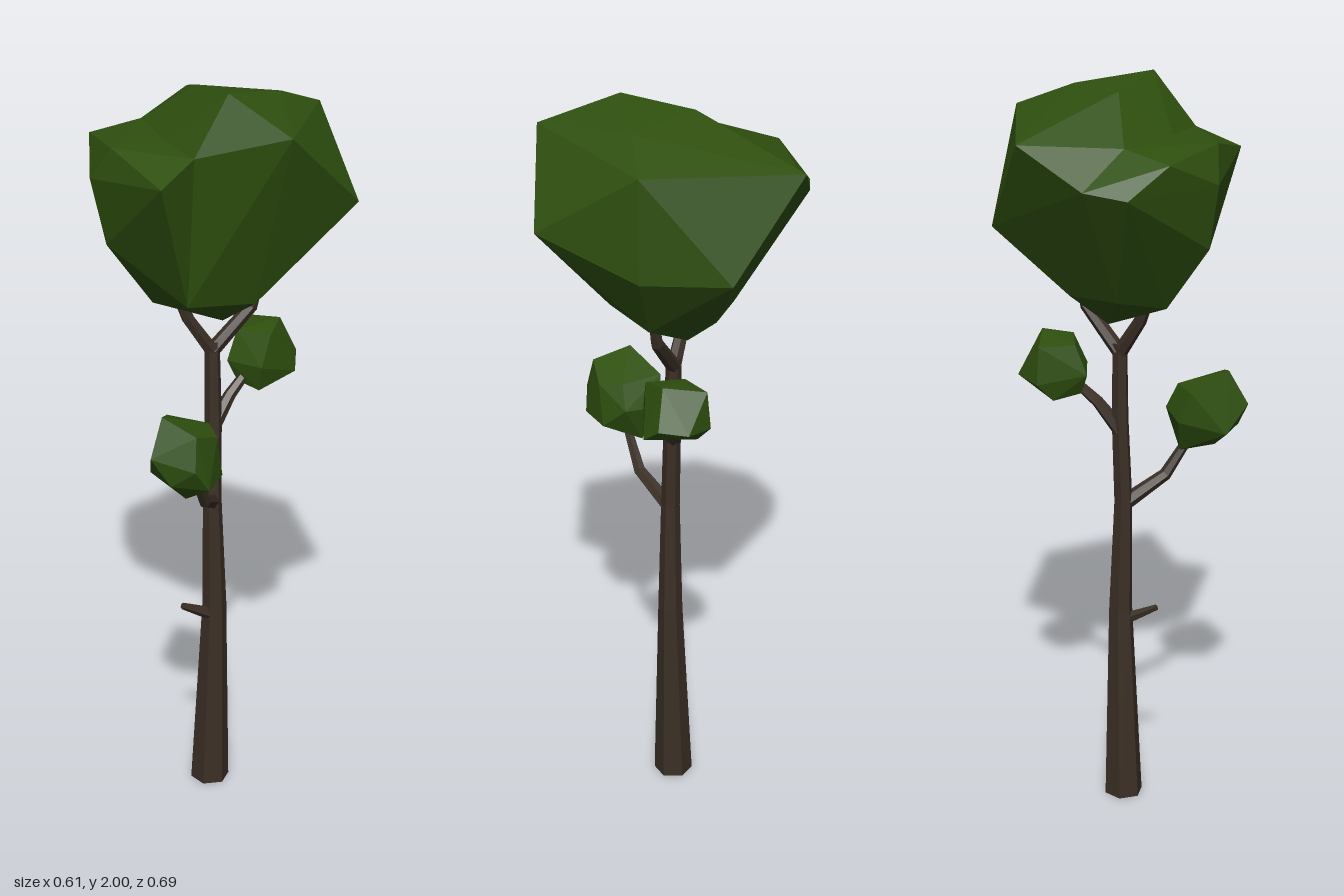
import * as THREE from 'three';
import { ConvexGeometry } from 'three/addons/geometries/ConvexGeometry.js';

const V = (p) => new THREE.Vector3(p[0], p[1], p[2]);

// Tapered six-sided limb through points [x, y, z, radius], closed at both ends
function limb(points, turn = 0, sides = 6) {
  const centers = points.map(V);
  const rings = centers.map((c, i) => {
    const dir = centers[Math.min(i + 1, centers.length - 1)].clone().sub(centers[Math.max(i - 1, 0)]);
    if (i === 0 && c.y === 0) dir.set(0, 1, 0); // the foot sits flat on the ground
    const q = new THREE.Quaternion().setFromUnitVectors(new THREE.Vector3(0, 1, 0), dir.normalize());
    return Array.from({ length: sides }, (_, k) => {
      const a = turn + (k / sides) * Math.PI * 2;
      return new THREE.Vector3(Math.sin(a), 0, Math.cos(a)).multiplyScalar(points[i][3]).applyQuaternion(q).add(c);
    });
  });
  const tris = [];
  const last = rings.length - 1;
  for (let k = 0; k < sides; k++) {
    const n = (k + 1) % sides;
    for (let i = 0; i < last; i++) {
      const [a, b, c, d] = [rings[i][k], rings[i][n], rings[i + 1][n], rings[i + 1][k]];
      tris.push(a, b, c, a, c, d);
    }
    tris.push(centers[0], rings[0][n], rings[0][k], centers[last], rings[last][k], rings[last][n]);
  }
  const g = new THREE.BufferGeometry().setFromPoints(tris);
  g.computeVertexNormals();
  return g;
}

const hull = (points) => new ConvexGeometry(points.map(V));

export function createModel() {
  const bark = new THREE.MeshStandardMaterial({ color: 0x3a2f25, flatShading: true });
  bark.name = 'bark';
  const leaf = new THREE.MeshStandardMaterial({ color: 0x2f500f, flatShading: true });
  leaf.name = 'leaf green';

  const tree = new THREE.Group();
  tree.name = 'tree';
  const add = (name, geometry, material) => {
    const mesh = new THREE.Mesh(geometry, material);
    mesh.name = name;
    tree.add(mesh);
  };

  // Trunk and branches
  add('trunk', limb([
    [-0.004, 0, 0.03, 0.053], [0.008, 0.55, 0.032, 0.033], [0.001, 0.87, 0.034, 0.025],
    [0.006, 1.1, 0.026, 0.023], [0.004, 1.31, 0.022, 0.02],
  ], 0.4), bark);
  add('forkRight', limb([[0.004, 1.285, 0.022, 0.02], [-0.06, 1.38, 0.022, 0.017], [-0.1, 1.48, 0.02, 0.014]]), bark);
  add('forkLeft', limb([[0.004, 1.285, 0.022, 0.02], [0.11, 1.395, 0.02, 0.017], [0.135, 1.49, 0.02, 0.014]]), bark);
  add('lowerBranch', limb([[0, 0.86, 0.035, 0.022], [-0.055, 0.92, 0.15, 0.017], [-0.1, 1.03, 0.21, 0.012]]), bark);
  add('upperBranch', limb([[0.005, 1.07, 0.025, 0.021], [0.06, 1.145, 0.0, 0.016], [0.13, 1.21, -0.03, 0.012]]), bark);
  add('twig', limb([[0, 0.52, 0.04, 0.018], [-0.09, 0.57, 0.06, 0.009]]), bark);

  // Crown: a main mass and a side lobe that meet in a shallow valley
  const valley = [[-0.1, 1.86, 0.21], [-0.13, 1.865, 0.06], [-0.13, 1.865, -0.15], [-0.11, 1.78, -0.295]];
  const underside = [
    [-0.15, 1.43, 0.01], [-0.1, 1.46, 0.15], [-0.08, 1.46, -0.11], [0.01, 1.37, -0.02], [0.02, 1.38, 0.06],
  ];
  add('crown', hull([
    ...valley, ...underside,
    [0, 2, 0.165], [0.17, 1.965, 0.055], [-0.025, 1.975, -0.025],
    [0.1, 1.93, 0.345], [0.305, 1.73, 0.255], [0.3, 1.91, -0.02], [0.05, 1.885, -0.345],
    [0.22, 1.64, -0.23], [0.3, 1.64, -0.02],
    [0.18, 1.46, 0.01], [0.07, 1.46, 0.17], [0.06, 1.46, -0.12],
  ]), leaf);
  add('crownLobe', hull([
    ...valley, ...underside,
    [-0.265, 1.86, 0.06], [-0.265, 1.84, -0.15], [-0.305, 1.77, 0.005],
    [-0.215, 1.765, -0.255], [-0.2, 1.81, 0.27], [-0.27, 1.6, 0.02],
  ]), leaf);

  // Small leaf clumps at the branch tips
  add('lowerClump', hull([
    [-0.195, 1.215, 0.24], [-0.06, 1.165, 0.2], [-0.06, 1.155, 0.27], [-0.035, 1.1, 0.18],
    [-0.04, 1.04, 0.25], [-0.095, 0.995, 0.16], [-0.14, 0.992, 0.26], [-0.215, 1.05, 0.2],
    [-0.235, 1.12, 0.275], [-0.14, 1.1, 0.345], [-0.13, 1.185, 0.32], [-0.1, 1.04, 0.33],
    [-0.15, 1.17, 0.13], [-0.12, 1.09, 0.112], [-0.19, 1.05, 0.3],
  ]), leaf);
  add('upperClump', hull([
    [0.21, 1.33, -0.04], [0.095, 1.305, -0.05], [0.15, 1.31, -0.135], [0.16, 1.31, 0.03],
    [0.26, 1.23, -0.05], [0.24, 1.19, 0.0], [0.23, 1.22, -0.12], [0.15, 1.21, -0.145],
    [0.13, 1.16, 0.03], [0.13, 1.16, -0.1], [0.09, 1.17, -0.03], [0.065, 1.225, -0.04],
    [0.13, 1.23, 0.05],
  ]), leaf);

  return tree;
}
